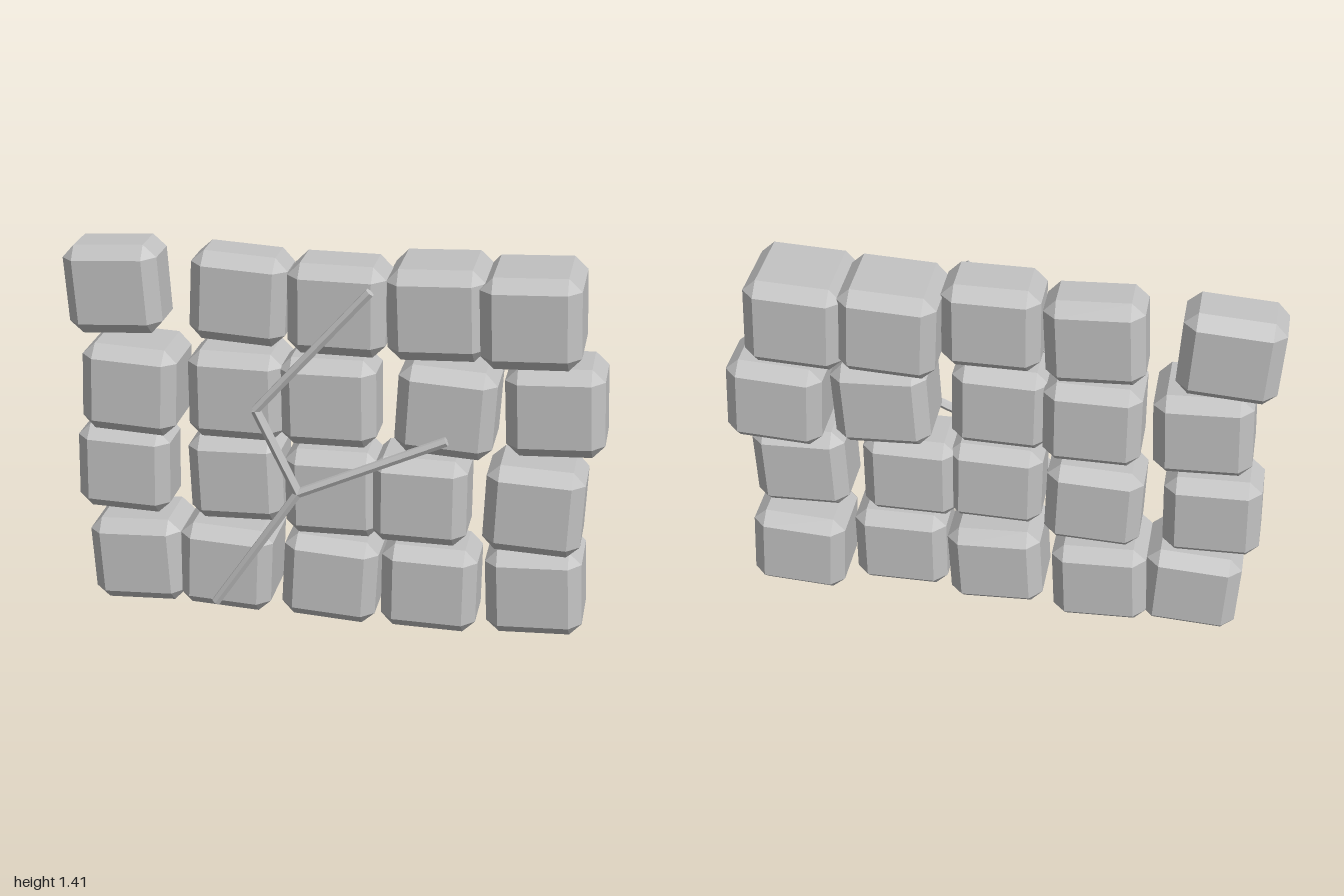
import * as THREE from 'three';
import { ConvexGeometry } from 'three/addons/geometries/ConvexGeometry.js';

const stone = new THREE.MeshStandardMaterial({ color: 0xc2c2c2 });
stone.name = 'stone grey';

// Box with flat chamfers on every edge and triangular corners
function chamferBox(w, h, d, b) {
  const pts = [];
  const x = w / 2, y = h / 2, z = d / 2;
  for (const sx of [-1, 1]) for (const sy of [-1, 1]) for (const sz of [-1, 1]) {
    pts.push(
      new THREE.Vector3(sx * x, sy * (y - b), sz * (z - b)),
      new THREE.Vector3(sx * (x - b), sy * y, sz * (z - b)),
      new THREE.Vector3(sx * (x - b), sy * (y - b), sz * z));
  }
  return new ConvexGeometry(pts);
}

// Each stone: centre x, tilt in degrees, back z, front z
const rows = [
  [[-0.74, 3, -0.15, 0.15], [-0.395, -2.5, -0.17, 0.15], [0.01, -3, -0.135, 0.165], [0.385, -0.5, -0.09, 0.17], [0.77, 3, -0.17, 0.13]],
  [[-0.795, -1.5, -0.14, 0.1], [-0.36, 2, -0.15, 0.1], [0.02, 1, -0.08, 0.16], [0.34, 0, -0.09, 0.17], [0.76, -2, -0.1, 0.175]],
  [[-0.74, -2.5, -0.13, 0.17], [-0.342, 0, -0.13, 0.15], [0, 1, -0.08, 0.15], [0.43, -3, -0.14, 0.16], [0.815, 3, -0.19, 0.09]],
  [[-0.815, 3.5, -0.15, 0.08], [-0.342, -3, -0.13, 0.09], [0.03, 0, -0.1, 0.145], [0.385, 2.5, -0.2, 0.13], [0.72, 2.5, -0.2, 0.155]],
];

// Straight six-sided rod between two points, with flat facets
function rod(a, b, r) {
  const dir = b.clone().sub(a);
  const geometry = new THREE.CylinderGeometry(r, r, dir.length(), 6).toNonIndexed();
  geometry.computeVertexNormals();
  const mesh = new THREE.Mesh(geometry, stone);
  mesh.position.copy(a).add(b).multiplyScalar(0.5);
  mesh.quaternion.setFromUnitVectors(new THREE.Vector3(0, 1, 0), dir.normalize());
  return mesh;
}

export function createModel() {
  const model = new THREE.Group();
  model.name = 'crackedStoneWall';

  // Four courses of loose, tilted stones
  rows.forEach((row, j) => {
    const course = new THREE.Group();
    course.name = `stoneCourse${j + 1}`;
    row.forEach(([x, tilt, back, front], i) => {
      const block = new THREE.Mesh(chamferBox(0.356, 0.338, front - back, 0.047), stone);
      block.name = `stone${i + 1}`;
      block.position.set(x, 0.177 + j * 0.353, (front + back) / 2);
      block.rotation.z = THREE.MathUtils.degToRad(tilt);
      course.add(block);
    });
    model.add(course);
  });

  // Branching crack lying across the front
  const crack = new THREE.Group();
  crack.name = 'crack';
  const foot = new THREE.Vector3(-0.417, 0.066, 0.18);
  const fork = new THREE.Vector3(-0.096, 0.55, 0.186);
  const bend = new THREE.Vector3(-0.25, 0.866, 0.183);
  const top = new THREE.Vector3(0.165, 1.342, 0.183);
  const branch = new THREE.Vector3(0.445, 0.8, 0.18);
  [[foot, fork], [fork, bend], [bend, top], [fork, branch]].forEach(([a, b], i) => {
    const seg = rod(a, b, 0.018);
    seg.name = `crackSegment${i + 1}`;
    crack.add(seg);
  });
  model.add(crack);
  return model;
}
